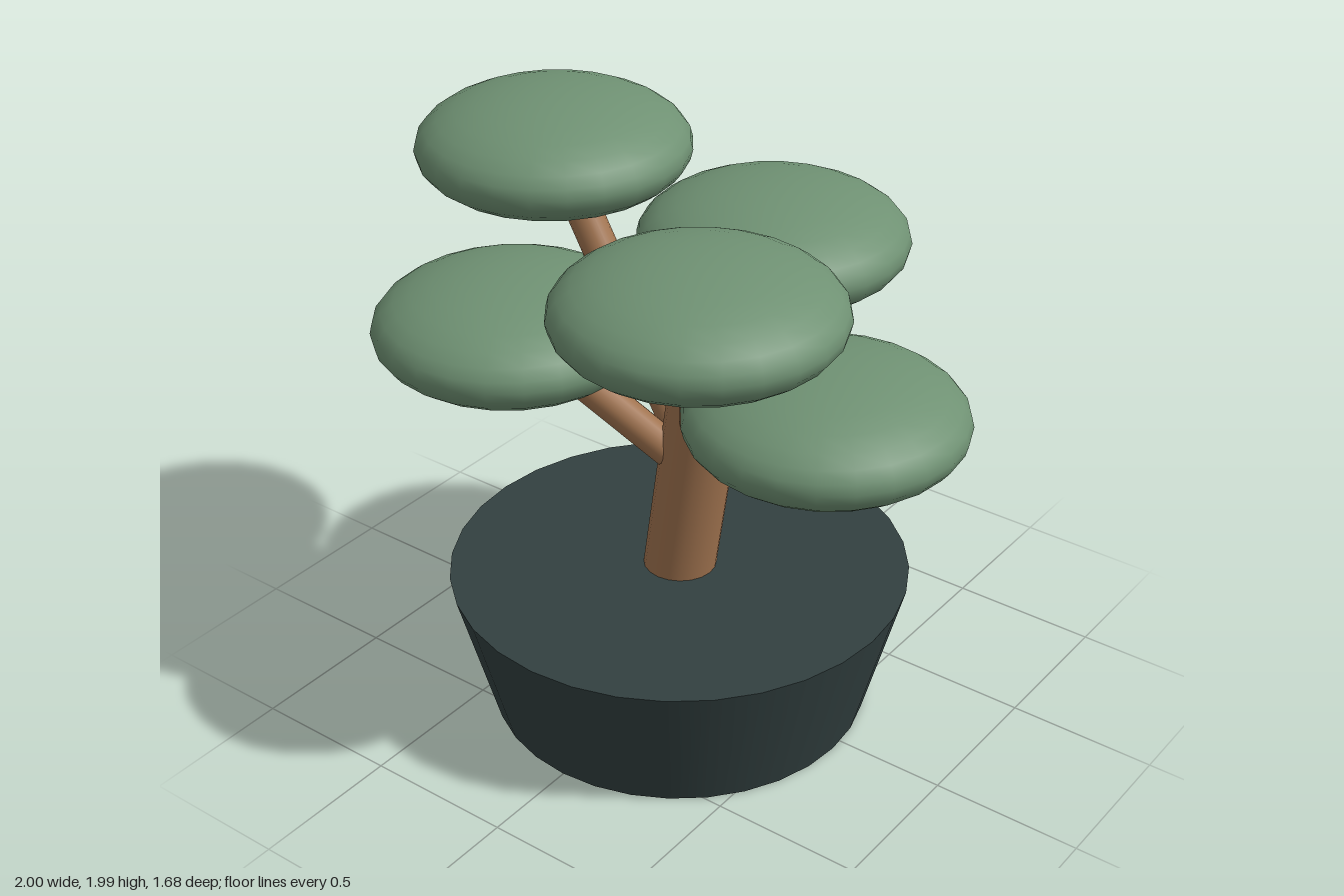
import * as THREE from 'three';

const foliageMat = new THREE.MeshStandardMaterial({ name: 'foliage green', color: 0x6f9173 });
const barkMat = new THREE.MeshStandardMaterial({ name: 'bark brown', color: 0xa0734f });
const potMat = new THREE.MeshStandardMaterial({ name: 'pot slate', color: 0x324040 });

// Straight round limb between two points
function limb(name, from, to, radius, segments) {
  const a = new THREE.Vector3(...from);
  const b = new THREE.Vector3(...to);
  const dir = b.clone().sub(a);
  const mesh = new THREE.Mesh(new THREE.CylinderGeometry(radius, radius, dir.length(), segments), barkMat);
  mesh.name = name;
  mesh.position.copy(a).add(b).multiplyScalar(0.5);
  mesh.quaternion.setFromUnitVectors(new THREE.Vector3(0, 1, 0), dir.normalize());
  return mesh;
}

export function createModel() {
  const tree = new THREE.Group();
  tree.name = 'bonsaiTree';
  const z0 = 0.045;

  // Tapered pot with a plain flat top
  const pot = new THREE.Mesh(new THREE.CylinderGeometry(0.76, 0.63, 0.49, 32), potMat);
  pot.name = 'pot';
  pot.position.set(-0.003, 0.245, z0);
  tree.add(pot);

  // Leaning trunk
  tree.add(limb('trunk', [-0.011, 0.42, z0], [0.147, 1.455, z0], 0.12, 20));

  // Leaf pads, each carried by a branch: [name, pad centre, branch start height]
  const pads = [
    ['top', [-0.557, 1.815, -0.035], 0.88],
    ['front', [0.333, 1.67, 0.395], 0.95],
    ['right', [-0.42, 1.375, 0.35], 0.86],
    ['left', [0.555, 1.235, 0.047], 0.955],
    ['back', [0.043, 1.52, -0.4], 0.93],
  ];
  const padGeometry = new THREE.SphereGeometry(0.444, 24, 16);
  for (const [name, centre, startY] of pads) {
    tree.add(limb(name + 'Branch', [0.07, startY, z0], centre, 0.058, 16));
    const pad = new THREE.Mesh(padGeometry, foliageMat);
    pad.name = name + 'LeafPad';
    pad.position.set(...centre);
    pad.scale.y = 0.395;
    tree.add(pad);
  }
  return tree;
}
